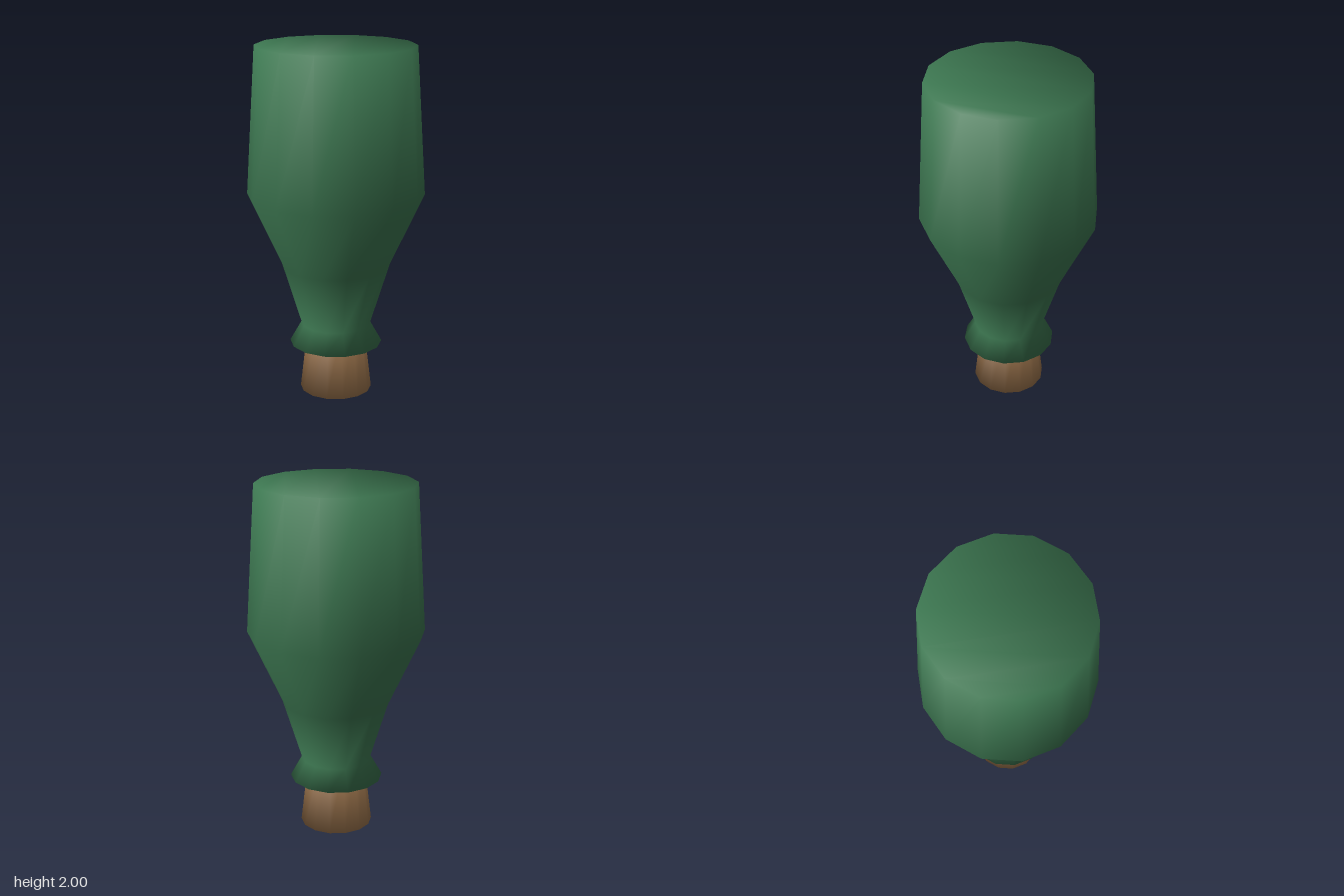
import * as THREE from 'three';

const SIDES = 14;

// Closed, smoothly shaded solid of revolution; profile is [radius, y] from bottom to top.
function turnedSolid(profile) {
  const last = profile.length - 1;

  // Outward normal of each profile segment, with the two flat caps at the ends
  const slopes = [new THREE.Vector2(0, -1)];
  for (let j = 0; j < last; j++) {
    const [r0, y0] = profile[j];
    const [r1, y1] = profile[j + 1];
    slopes.push(new THREE.Vector2(y1 - y0, r0 - r1).normalize());
  }
  slopes.push(new THREE.Vector2(0, 1));

  const position = [];
  const normal = [];
  profile.forEach(([r, y], j) => {
    const n = slopes[j].clone().add(slopes[j + 1]).normalize();
    for (let i = 0; i < SIDES; i++) {
      const a = (i / SIDES) * Math.PI * 2;
      position.push(r * Math.sin(a), y, r * Math.cos(a));
      normal.push(n.x * Math.sin(a), n.y, n.x * Math.cos(a));
    }
  });

  const index = [];
  const at = (j, i) => j * SIDES + (i % SIDES);

  // Side walls
  for (let j = 0; j < last; j++) {
    for (let i = 0; i < SIDES; i++) {
      index.push(at(j, i), at(j, i + 1), at(j + 1, i + 1));
      index.push(at(j, i), at(j + 1, i + 1), at(j + 1, i));
    }
  }

  // Flat caps, cut into strips across the polygon
  const capTriangle = (a, b, c) => {
    index.push(at(last, a), at(last, b), at(last, c));
    index.push(at(0, a), at(0, c), at(0, b));
  };
  let lo = 2;
  let hi = lo + SIDES - 1;
  while (hi - lo > 1) {
    capTriangle(lo, lo + 1, hi);
    lo++;
    if (hi - lo > 1) {
      capTriangle(lo, hi - 1, hi);
      hi--;
    }
  }

  const geometry = new THREE.BufferGeometry();
  geometry.setAttribute('position', new THREE.Float32BufferAttribute(position, 3));
  geometry.setAttribute('normal', new THREE.Float32BufferAttribute(normal, 3));
  geometry.setIndex(index);
  return geometry;
}

export function createModel() {
  const glass = new THREE.MeshStandardMaterial({ color: 0x3c7650 });
  glass.name = 'green glass';
  const corkBrown = new THREE.MeshStandardMaterial({ color: 0xa67c52 });
  corkBrown.name = 'cork brown';

  const model = new THREE.Group();
  model.name = 'upturnedBottle';

  // Bottle standing on its stopper: flared lip, neck, shoulder, body, flat base on top
  const bottle = new THREE.Mesh(
    turnedSolid([[0.265, 0.285], [0.2, 0.4], [0.308, 0.75], [0.5, 1.165], [0.447, 2]]),
    glass
  );
  bottle.name = 'bottle';

  // Tapered stopper, pushed up into the neck
  const cork = new THREE.Mesh(turnedSolid([[0.206, 0], [0.16, 0.4]]), corkBrown);
  cork.name = 'cork';

  model.add(bottle, cork);
  return model;
}
